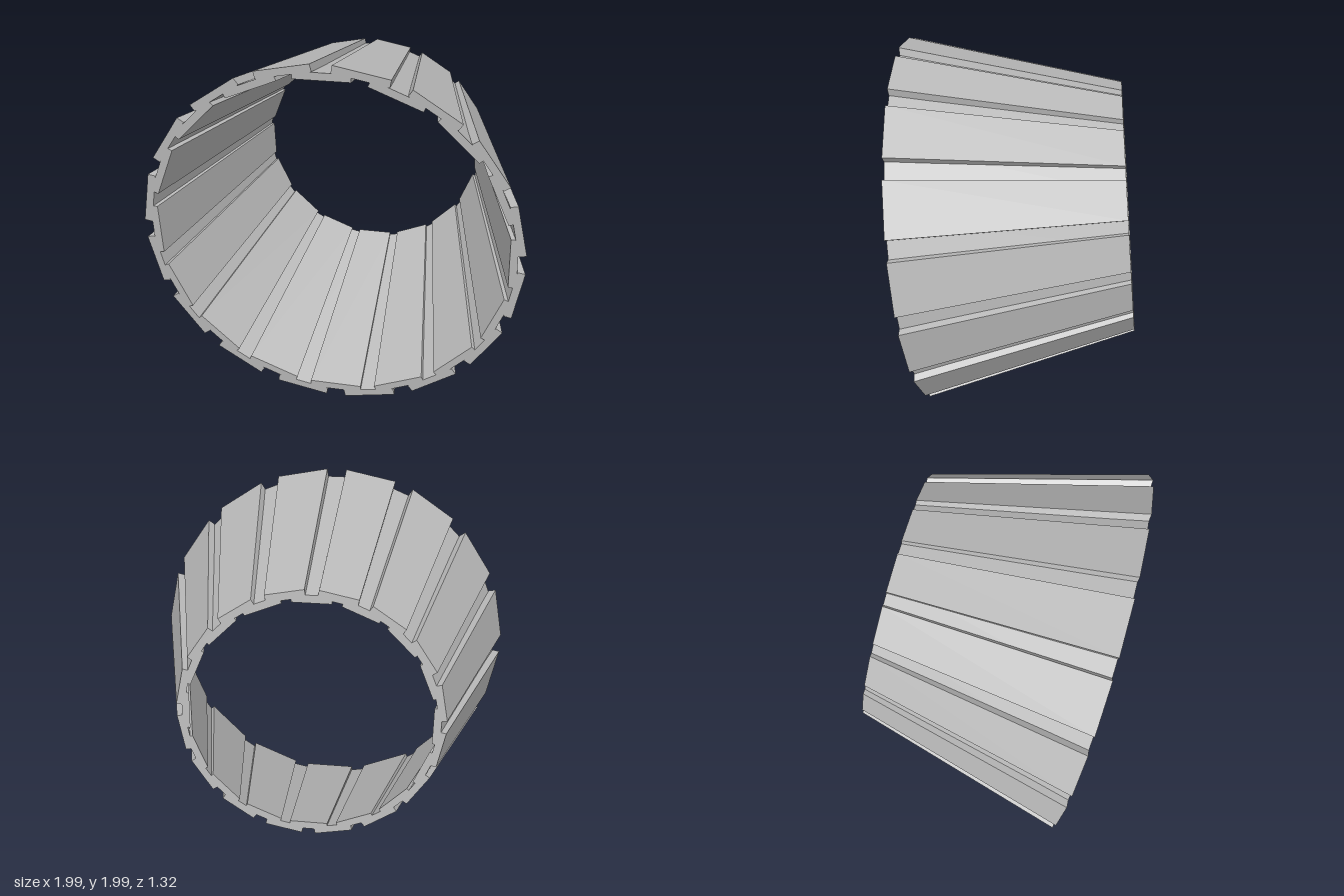
import * as THREE from 'three';

const COUNT = 16;
const LENGTH = 1.133;
const THICK = 0.04;
const FRONT_WIDTH = 0.284, BACK_WIDTH = 0.197;

// One tapered plank: narrow and close to the axis at the back, wide and far out in front
function plankGeometry(frontRadius, backRadius) {
  const geometry = new THREE.BoxGeometry(1, THICK, LENGTH);
  const p = geometry.attributes.position;
  for (let i = 0; i < p.count; i++) {
    const front = p.getZ(i) > 0;
    p.setX(i, p.getX(i) * (front ? FRONT_WIDTH : BACK_WIDTH));
    p.setY(i, p.getY(i) - THICK / 2 + (front ? frontRadius : backRadius));
  }
  geometry.computeVertexNormals();
  return geometry;
}

// Ring of planks around the z axis
function plankRing(name, geometry, material, offset) {
  const ring = new THREE.Group();
  ring.name = name + 'Ring';
  for (let i = 0; i < COUNT; i++) {
    const plank = new THREE.Mesh(geometry, material);
    plank.name = name;
    plank.rotation.z = ((i + offset) / COUNT) * Math.PI * 2;
    ring.add(plank);
  }
  return ring;
}

export function createModel() {
  const grey = new THREE.MeshStandardMaterial({ color: 0xbababa, flatShading: true });
  grey.name = 'grey';

  const shell = new THREE.Group();
  shell.name = 'conicalShell';
  // Inner boards, with outer slats staggered to cover the gaps
  shell.add(plankRing('innerBoard', plankGeometry(0.957, 0.657), grey, 0));
  shell.add(plankRing('outerSlat', plankGeometry(0.99, 0.678), grey, 0.5));

  // The wide opening points forward, slightly down and to the left
  const axis = new THREE.Vector3(0.067, -0.116, 1.125).normalize();
  shell.quaternion.setFromUnitVectors(new THREE.Vector3(0, 0, 1), axis);
  shell.position.set(-0.033, 1.063, -0.027);

  const model = new THREE.Group();
  model.name = 'slattedCone';
  model.add(shell);
  return model;
}
